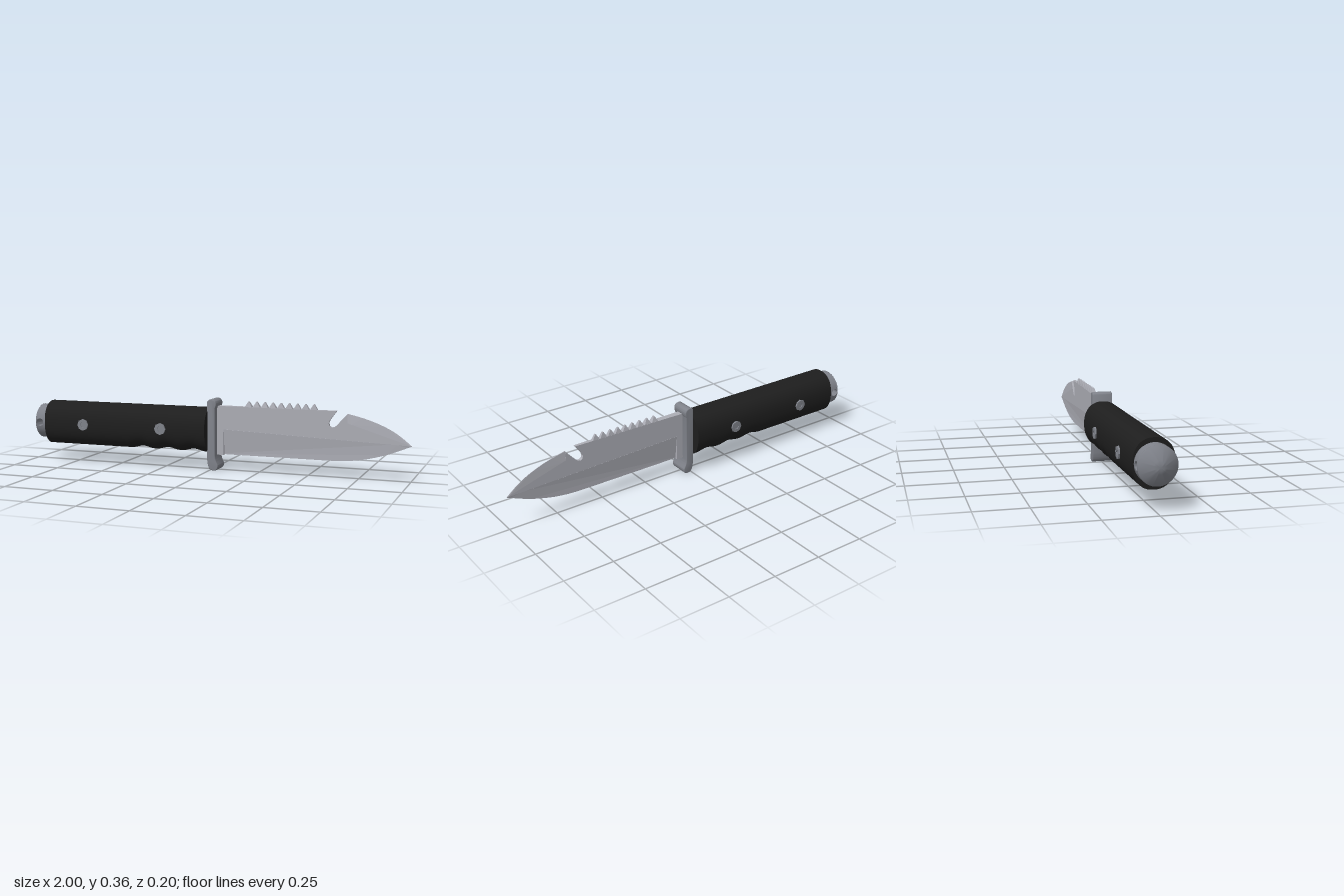
import * as THREE from 'three';
import { toCreasedNormals } from 'three/addons/utils/BufferGeometryUtils.js';

const mat = (name, color) => {
  const m = new THREE.MeshStandardMaterial({ color, side: THREE.DoubleSide });
  m.name = name;
  return m;
};

// Skin over a list of closed rings of points
function loft(rings, crease = 0.5) {
  const n = rings[0].length, index = [];
  for (let i = 0; i < rings.length - 1; i++) {
    for (let j = 0; j < n; j++) {
      const a = i * n + j, b = i * n + (j + 1) % n;
      index.push(a, a + n, b + n, a, b + n, b);
    }
  }
  const g = new THREE.BufferGeometry();
  g.setAttribute('position', new THREE.Float32BufferAttribute(rings.flat(2), 3));
  g.setIndex(index);
  return toCreasedNormals(g, crease);
}

// Flat outline given a half thickness at every point
function slab(points, half) {
  const shape = new THREE.Shape(points.map(([x, y]) => new THREE.Vector2(x, y)));
  const g = new THREE.ExtrudeGeometry(shape, { depth: 2, bevelEnabled: false, curveSegments: 8 });
  const p = g.attributes.position;
  for (let i = 0; i < p.count; i++) {
    p.setZ(i, (p.getZ(i) - 1) * half(p.getX(i), p.getY(i)));
  }
  g.computeVertexNormals();
  return g;
}

const curve = (pts, n) => new THREE.SplineCurve(pts.map(([x, y]) => new THREE.Vector2(x, y)))
  .getPoints(n).map(v => [v.x, v.y]);

const CY = 0.205;

// Oval grip with three finger grooves underneath
function gripGeometry() {
  const rings = [], steps = 90, sides = 48, x0 = -0.905, x1 = -0.01;
  const ring = (x, s) => Array.from({ length: sides }, (_, j) => {
    const a = j / sides * Math.PI * 2, c = Math.cos(a), d = Math.sin(a);
    const round = v => Math.sign(v) * Math.abs(v) ** 0.88;
    const groove = x > -0.44 && x < -0.02 ? 0.012 * Math.sin(Math.PI * (x + 0.44) / 0.14) ** 2 : 0;
    const ry = d < 0 ? 0.116 - groove : 0.11;
    return [x, CY + s * ry * round(d), s * 0.095 * round(c)];
  });
  rings.push(ring(x0, 0.01));
  for (let i = 0; i <= steps; i++) rings.push(ring(x0 + (x1 - x0) * i / steps, 1));
  rings.push(ring(x1, 0.01));
  return loft(rings, 0.7);
}

// Round collar pierced from side to side by a lanyard hole
function collarGeometry() {
  const r = 0.089, hole = 0.02, cx = -0.938, left = -0.96, right = -0.9, n = 48, steps = 8;
  const ring = (t, side) => Array.from({ length: n }, (_, j) => {
    const a = j / n * Math.PI * 2, c = Math.cos(a), s = Math.sin(a);
    const m = Math.max(Math.abs(c), Math.abs(s));
    const outX = c > 0 ? (right - cx) * c / m : (cx - left) * c / m;
    const x = cx + THREE.MathUtils.lerp(hole * c, outX, t);
    const phi = THREE.MathUtils.lerp(Math.asin(hole * s / r), Math.PI / 2 * s / m, t);
    return [x, CY + r * Math.sin(phi), side * r * Math.cos(phi)];
  });
  const rings = [];
  for (let i = steps; i >= 0; i--) rings.push(ring(i / steps, -1));
  for (let i = 0; i <= steps; i++) rings.push(ring(i / steps, 1));
  return loft(rings, 0.6);
}

export function createModel() {
  const model = new THREE.Group();
  model.name = 'survivalKnife';
  const steel = mat('bladeSteel', 0xacadb5);
  const fitting = mat('fittingSteel', 0x7f828a);
  const black = mat('gripBlack', 0x1e1e1e);
  const add = (parent, name, geometry, material) => {
    const m = new THREE.Mesh(geometry, material);
    m.name = name;
    parent.add(m);
    return m;
  };

  // Blade: thickness falls off along its length
  const blade = new THREE.Group();
  blade.name = 'blade';
  model.add(blade);
  const T = x => 0.017 - 0.0145 * x;
  const ridgeY = x => 0.21 - 0.038 * x;
  const tip = [1, 0.172];
  const clip = curve([[0.69, 0.313], [0.78, 0.291], [0.87, 0.258], [0.94, 0.219], tip], 14);
  const belly = [[0.02, 0.08], [0.3, 0.08], ...curve([[0.58, 0.08], [0.68, 0.083], [0.78, 0.097], [0.89, 0.127], tip], 18)];
  const swedgeY = x => 0.268 - (x - 0.69) * 0.096 / 0.31;

  const notch = [[0.69, 0.313], [0.64, 0.257], [0.628, 0.246], [0.614, 0.243],
    [0.603, 0.25], [0.599, 0.264], [0.605, 0.28], [0.638, 0.325]];
  add(blade, 'bladeFlat', slab([[0.02, ridgeY(0)], tip, [0.69, 0.268], ...notch, [0.02, 0.325]], T), steel);

  // Cutting bevel, narrowing to the belly edge
  const ridge = belly.slice(0, -1).map(([x]) => [x, ridgeY(x)]).reverse();
  const isEdge = (x, y) => y < ridgeY(x) - 0.003;
  add(blade, 'cuttingBevel', slab([...belly, ...ridge],
    (x, y) => isEdge(x, y) ? 0.0015 : T(x)), steel);
  add(blade, 'ricasso', slab([[0.02, 0.078], [0.065, 0.078], [0.065, 0.212], [0.02, 0.212]], T), steel);

  // False edge along the clipped point
  const inner = clip.slice(0, -1).map(([x]) => [x, swedgeY(x)]);
  add(blade, 'falseEdge', slab([...inner, ...[...clip].reverse()],
    (x, y) => y > swedgeY(x) + 0.002 ? 0.3 * T(x) : T(x)), steel);

  // Saw teeth on the spine
  for (let i = 0; i < 9; i++) {
    const x = 0.172 + i * 0.0415;
    add(blade, 'sawTooth', slab([[x, 0.322], [x + 0.04, 0.322], [x + 0.023, 0.352], [x + 0.018, 0.352]],
      (px, y) => y > 0.34 ? 0.005 : T(px)), steel);
  }

  // Crossguard with a forward-curling lower end
  const guardShape = new THREE.Shape();
  guardShape.moveTo(-0.008, 0.345);
  guardShape.lineTo(-0.008, 0.06);
  guardShape.quadraticCurveTo(-0.006, 0.03, 0.002, 0.014);
  guardShape.quadraticCurveTo(0.014, 0.002, 0.032, 0.006);
  guardShape.quadraticCurveTo(0.044, 0.014, 0.041, 0.03);
  guardShape.quadraticCurveTo(0.026, 0.055, 0.026, 0.08);
  guardShape.lineTo(0.026, 0.315);
  guardShape.quadraticCurveTo(0.033, 0.325, 0.031, 0.342);
  guardShape.quadraticCurveTo(0.026, 0.356, 0.01, 0.356);
  guardShape.quadraticCurveTo(-0.004, 0.356, -0.008, 0.345);
  const guard = new THREE.ExtrudeGeometry(guardShape, {
    depth: 0.092, bevelThickness: 0.004, bevelSize: 0.004, bevelSegments: 3, curveSegments: 8,
  });
  guard.translate(0, 0, -0.046);
  add(model, 'crossguard', toCreasedNormals(guard, 0.6), fitting);

  // Grip
  add(model, 'grip', gripGeometry(), black);

  // Bolts through the grip, each with a hexagonal socket
  const polygon = (r, n) => Array.from({ length: n }, (_, i) =>
    new THREE.Vector2(r * Math.cos(i / n * Math.PI * 2), r * Math.sin(i / n * Math.PI * 2)));
  for (const x of [-0.68, -0.247]) {
    const bolt = new THREE.Group();
    bolt.name = 'gripBolt';
    bolt.position.set(x, CY, 0);
    model.add(bolt);
    const head = new THREE.Shape(polygon(0.03, 8));
    head.holes.push(new THREE.Path(polygon(0.014, 6)));
    const headGeo = new THREE.ExtrudeGeometry(head, { depth: 0.204, bevelEnabled: false });
    add(bolt, 'boltHead', headGeo.translate(0, 0, -0.102), fitting);
    const core = new THREE.CylinderGeometry(0.016, 0.016, 0.194, 8).rotateX(Math.PI / 2);
    add(bolt, 'socketFloor', core, fitting);
  }

  // Pommel: pierced collar and domed cone
  const pommel = new THREE.Group();
  pommel.name = 'pommel';
  model.add(pommel);
  add(pommel, 'lanyardCollar', collarGeometry(), fitting);
  const cone = [[0.089, 0], [0.084, 0.005], [0.03, 0.034], [0.016, 0.039], [0, 0.04]]
    .map(([r, h]) => new THREE.Vector2(r, h));
  const coneGeo = toCreasedNormals(new THREE.LatheGeometry(cone, 48), 0.5).rotateZ(Math.PI / 2);
  add(pommel, 'pommelCone', coneGeo, fitting).position.set(-0.96, CY, 0);

  return model;
}
